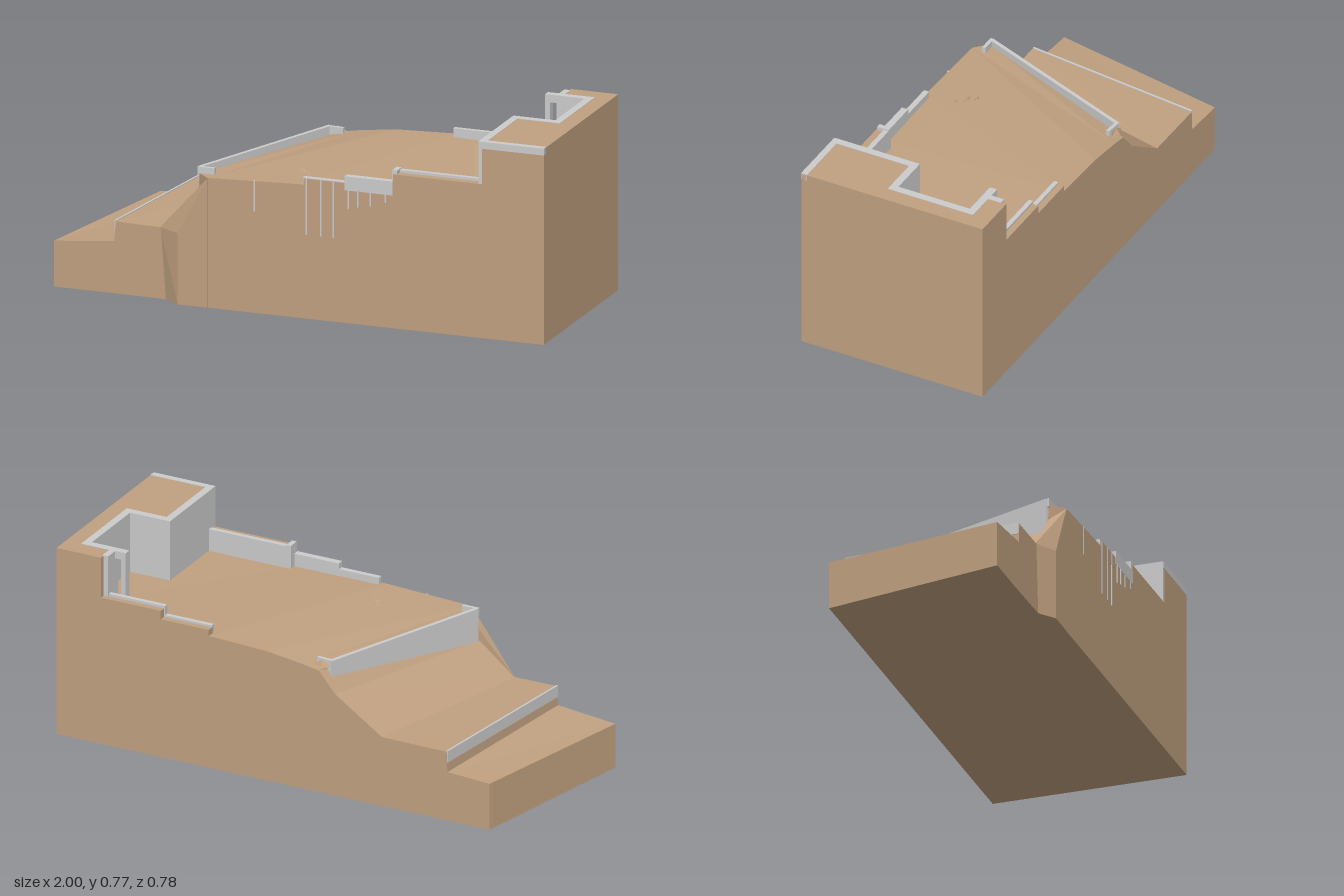
import * as THREE from 'three';
import { ConvexGeometry } from 'three/addons/geometries/ConvexGeometry.js';

const earth = new THREE.MeshStandardMaterial({ color: 0xc0a080, flatShading: true });
const stone = new THREE.MeshStandardMaterial({ color: 0xcccccc, flatShading: true });

export function createModel() {
  const model = new THREE.Group();
  const add = (name, geometry, material) => {
    const mesh = new THREE.Mesh(geometry, material);
    mesh.name = name;
    model.add(mesh);
    return mesh;
  };
  // Box given by its extents
  const block = (name, x0, x1, y0, y1, z0, z1, material = stone) =>
    add(name, new THREE.BoxGeometry(x1 - x0, y1 - y0, z1 - z0), material)
      .position.set((x0 + x1) / 2, (y0 + y1) / 2, (z0 + z1) / 2);
  // Straight wall between two points of the ground plan
  const wall = (name, x0, z0, x1, z1, y0, y1, t) => {
    const mesh = add(name, new THREE.BoxGeometry(Math.hypot(x1 - x0, z1 - z0), y1 - y0, t), stone);
    mesh.position.set((x0 + x1) / 2, (y0 + y1) / 2, (z0 + z1) / 2);
    mesh.rotation.y = -Math.atan2(z1 - z0, x1 - x0);
  };

  // Hillside: skewed sections [front x, front y, front z, back x, back y]
  const sections = [
    [-1, 0.18, 0.335, -0.85, 0.19],
    [-0.755, 0.205, 0.335, -0.67, 0.2],
    [-0.75, 0.283, 0.335, -0.665, 0.283],
    [-0.57, 0.28, 0.338, -0.39, 0.285],
    [-0.42, 0.4, 0.338, -0.19, 0.42],
    [-0.41, 0.51, 0.338, -0.12, 0.503],
    [-0.36, 0.51, 0.385, -0.05, 0.515],
    [0, 0.525, 0.385, 0.1, 0.535],
    [0.35, 0.525, 0.385, 0.35, 0.545],
    [1, 0.525, 0.385, 1, 0.53],
  ];
  const rings = sections.map(([fx, fy, fz, bx, by]) =>
    [[fx, 0, fz], [fx, fy, fz], [bx, by, -0.39], [bx, 0, -0.39]]);
  const points = [];
  const quad = (a, b, c, d) => points.push(...a, ...b, ...c, ...a, ...c, ...d);
  for (let i = 0; i < rings.length - 1; i++)
    for (let j = 0; j < 4; j++) {
      const k = (j + 1) % 4;
      quad(rings[i][j], rings[i + 1][j], rings[i + 1][k], rings[i][k]);
    }
  quad(...rings[0]);
  quad(...rings[rings.length - 1].slice().reverse());
  const hill = new THREE.BufferGeometry();
  hill.setAttribute('position', new THREE.Float32BufferAttribute(points, 3));
  hill.computeVertexNormals();
  add('hillside', hill, earth);

  // Rock shoulder where the hillside widens
  add('rockShoulder', new ConvexGeometry([
    [-0.55, 0, 0.335], [-0.48, 0, 0.386], [-0.48, 0.28, 0.386], [-0.57, 0.28, 0.335],
    [-0.42, 0.4, 0.335], [-0.36, 0.508, 0.386], [-0.36, 0.508, 0.335],
    [-0.36, 0, 0.386], [-0.36, 0, 0.335],
  ].map(p => new THREE.Vector3(...p))), earth);

  // Upper bluff with a recessed court
  const plan = [[0.75, 0.385], [1, 0.385], [1, -0.39], [0.81, -0.39], [0.81, -0.3],
    [0.92, -0.3], [0.92, 0.035], [0.75, 0.035]];
  const bluff = new THREE.ExtrudeGeometry(
    new THREE.Shape(plan.map(([x, z]) => new THREE.Vector2(x, -z))), { depth: 0.27, bevelEnabled: false });
  bluff.rotateX(-Math.PI / 2).translate(0, 0.5, 0);
  add('upperBluff', bluff, earth);

  // Facing walls of the bluff
  block('bluffWallLong', 0.735, 0.765, 0.52, 0.772, 0.02, 0.384);
  block('courtWallFront', 0.735, 0.935, 0.52, 0.772, 0.02, 0.05);
  block('courtWallInner', 0.905, 0.935, 0.52, 0.772, -0.315, 0.05);
  block('courtWallBack', 0.8, 0.935, 0.52, 0.772, -0.315, -0.285);
  block('bluffWallShort', 0.79, 0.815, 0.52, 0.772, -0.37, -0.29);
  block('bluffCoping', 0.74, 1, 0.745, 0.772, 0.36, 0.386);

  // Doorway frame beside the court
  block('doorPost', 0.745, 0.765, 0.52, 0.772, -0.315, -0.285);
  block('doorLintel', 0.745, 0.8, 0.742, 0.772, -0.315, -0.285);

  // Stepped banks and parapets along both sides
  block('frontBank', 0.39, 0.75, 0.5, 0.605, 0.35, 0.385, earth);
  block('frontParapet', 0.39, 0.74, 0.52, 0.615, 0.332, 0.352);
  block('frontParapetPost', 0.385, 0.405, 0.52, 0.62, 0.332, 0.38);
  block('frontParapetMiddle', 0.195, 0.39, 0.522, 0.577, 0.36, 0.387);
  block('frontParapetLow', 0.025, 0.195, 0.52, 0.553, 0.362, 0.383);
  block('frontBankLow', 0.03, 0.195, 0.5, 0.55, 0.38, 0.386, earth);
  block('backBankHigh', 0.555, 0.815, 0.5, 0.605, -0.39, -0.36, earth);
  block('backBankLow', 0.35, 0.555, 0.5, 0.57, -0.39, -0.36, earth);
  block('backParapetHigh', 0.55, 0.8, 0.52, 0.615, -0.365, -0.347);
  block('backParapetLow', 0.35, 0.55, 0.52, 0.578, -0.365, -0.347);

  // Slanting retaining wall with short returns
  wall('retainingWall', -0.412, 0.33, -0.15, -0.352, 0.4, 0.535, 0.016);
  wall('retainingWallFrontReturn', -0.418, 0.33, -0.35, 0.33, 0.5, 0.535, 0.014);
  wall('retainingWallBackReturn', -0.155, -0.346, -0.09, -0.34, 0.47, 0.535, 0.014);

  // Kerb on the lower step
  wall('lowerKerb', -0.752, 0.334, -0.668, -0.388, 0.24, 0.287, 0.008);

  // Thin strips hanging on the front face: [x, bottom, top]
  for (const [x, y0, y1] of [[-0.17, 0.4, 0.52], [0.04, 0.33, 0.55], [0.1, 0.33, 0.55],
    [0.15, 0.33, 0.55], [0.21, 0.45, 0.53], [0.25, 0.46, 0.53], [0.3, 0.47, 0.53], [0.36, 0.49, 0.53]])
    block('hangingStrip', x - 0.003, x + 0.003, y0, y1, 0.38, 0.388);

  // Low ridges of broken ground on the terrace: [x, z, length]
  for (const [x, z, l] of [[-0.03, 0.23, 0.12], [-0.05, 0.2, 0.08], [0, 0.26, 0.06], [-0.12, -0.36, 0.08]]) {
    const ridge = add('groundRidge', new THREE.ConeGeometry(0.5, 1, 4), earth);
    ridge.scale.set(l, 0.022, 0.03);
    ridge.position.set(x, 0.524, z);
  }
  return model;
}
